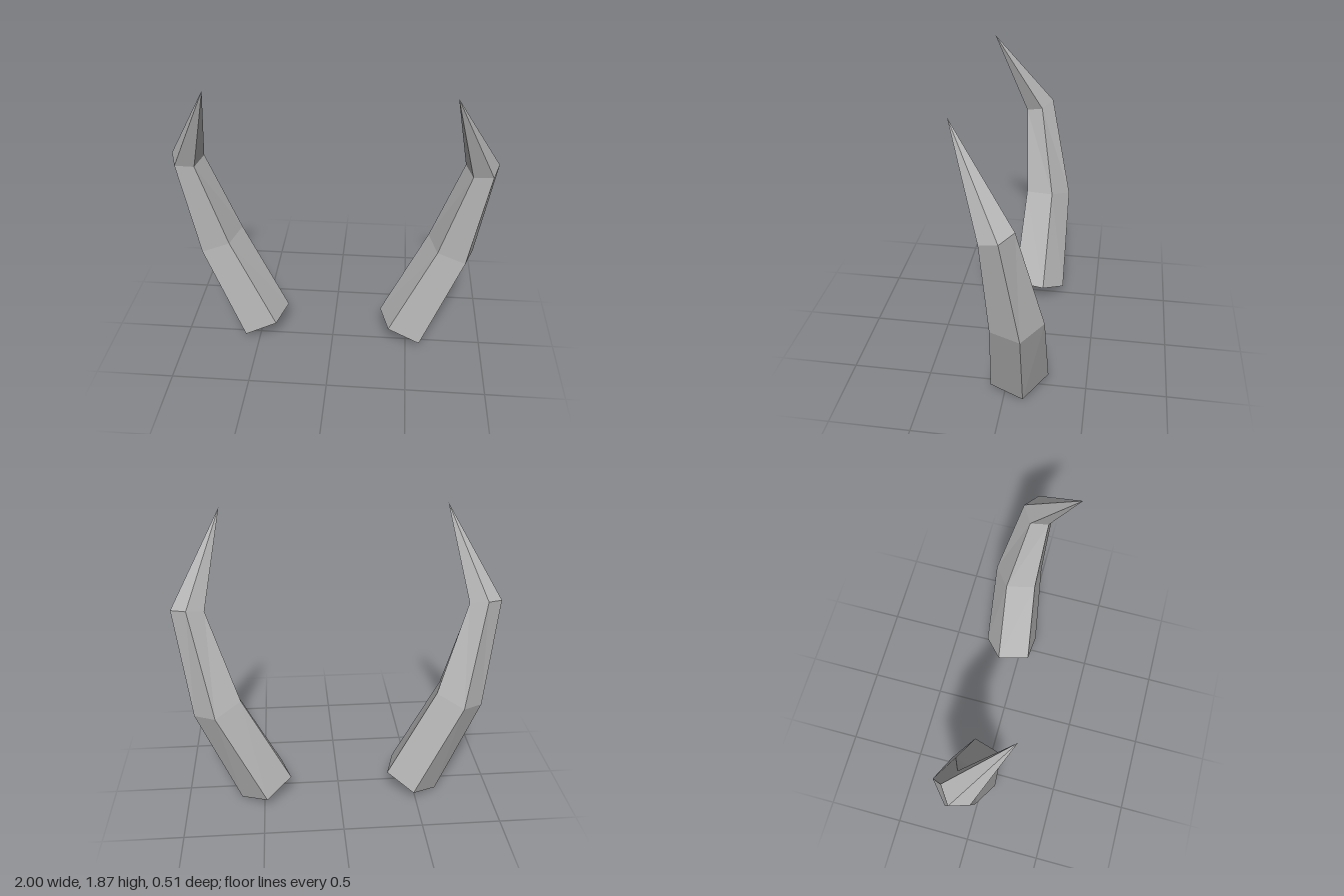
import * as THREE from 'three';

// Five-sided cross-sections of the left horn, from the open base upward:
// inner, front inner, front outer, outer, back
const RINGS = [
  [[0.32, 0.15, -0.13], [0.38, 0.14, 0.08], [0.59, 0.04, 0.09], [0.65, 0, -0.12], [0.48, 0.07, -0.26]],
  [[0.615, 0.76, -0.15], [0.67, 0.74, 0.035], [0.85, 0.67, 0.04], [0.91, 0.66, -0.14], [0.77, 0.7, -0.26]],
  [[0.8, 1.33, -0.05], [0.84, 1.3, 0.06], [0.96, 1.305, 0.065], [1, 1.34, -0.045], [0.9, 1.36, -0.115]],
];
const TIP = [0.695, 1.87, 0.255];

// Skin the rings into a hollow horn; side is 1 for left, -1 for the mirrored right
function hornGeometry(side) {
  const positions = [];
  const triangle = (a, b, c) => {
    const corners = side > 0 ? [a, b, c] : [a, c, b];
    for (const [x, y, z] of corners) positions.push(x * side, y, z);
  };
  const count = RINGS[0].length;
  for (let i = 0; i < count; i++) {
    const j = (i + 1) % count;
    // Shaft segments
    for (let r = 0; r < RINGS.length - 1; r++) {
      const low = RINGS[r], high = RINGS[r + 1];
      triangle(low[i], low[j], high[j]);
      triangle(low[i], high[j], high[i]);
    }
    // Pointed end
    const last = RINGS[RINGS.length - 1];
    triangle(last[i], last[j], TIP);
  }
  const geometry = new THREE.BufferGeometry();
  geometry.setAttribute('position', new THREE.Float32BufferAttribute(positions, 3));
  geometry.computeVertexNormals();
  return geometry;
}

export function createModel() {
  const group = new THREE.Group();
  group.name = 'horns';
  const material = new THREE.MeshStandardMaterial({
    color: 0xb8b8b8, flatShading: true, side: THREE.DoubleSide,
  });
  material.name = 'horn grey';

  for (const [name, side] of [['leftHorn', 1], ['rightHorn', -1]]) {
    const horn = new THREE.Mesh(hornGeometry(side), material);
    horn.name = name;
    group.add(horn);
  }
  return group;
}
